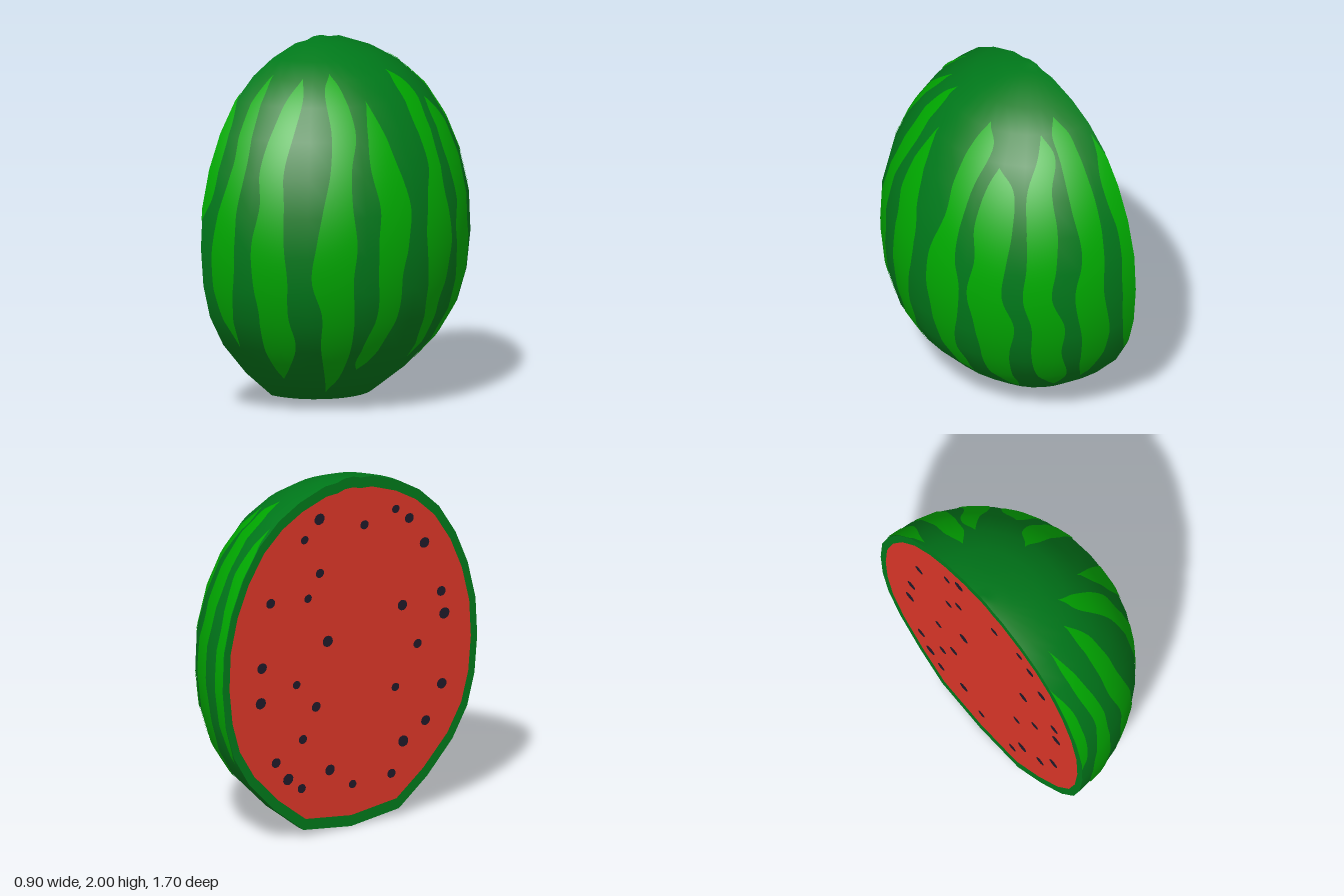
import * as THREE from 'three';

const SEG = 16, STEP = Math.PI / SEG, TURN = 0.082;

// Rind profile: radius, height
const PROFILE = [
  [0, 0], [0.32, 0.04], [0.51, 0.19], [0.68, 0.37], [0.78, 0.54], [0.83, 0.72], [0.85, 0.93], [0.84, 1.15],
  [0.79, 1.36], [0.71, 1.55], [0.6, 1.72], [0.47, 1.84], [0.33, 1.92], [0.16, 1.98], [0.08, 1.985], [0.03, 2], [0, 2],
];

// Seeds on the cut: z, y
const SEEDS = [
  [0.31, 1.76], [0.4, 1.69], [-0.2, 1.8], [0.1, 1.71], [0.5, 1.53], [-0.3, 1.7], [0.61, 1.23], [0.63, 1.1],
  [-0.2, 1.49], [0.35, 1.2], [-0.28, 1.36], [-0.53, 1.38], [-0.15, 1.09], [0.45, 0.96], [0.61, 0.7],
  [0.3, 0.74], [0.5, 0.51], [0.35, 0.42], [0.27, 0.25], [-0.59, 1.02], [-0.36, 0.88], [-0.23, 0.73],
  [-0.6, 0.82], [-0.32, 0.56], [-0.14, 0.35], [0.01, 0.24], [-0.5, 0.46], [-0.42, 0.35], [-0.33, 0.28],
];

function radiusAt(y) {
  for (let i = 1; i < PROFILE.length; i++) {
    const [r0, y0] = PROFILE[i - 1], [r1, y1] = PROFILE[i];
    if (y <= y1) return r0 + (r1 - r0) * (y - y0) / (y1 - y0 || 1);
  }
  return 0;
}

// Thin wavy band lying just above the faceted rind, through points [height, angle, half width]
function stripeGeometry(points) {
  const rows = 56, cols = 6, pos = [], nor = [], idx = [];
  const curve = new THREE.CatmullRomCurve3(points.map(([y, a, w]) => new THREE.Vector3(a - TURN, y, w)));
  for (let j = 0; j <= rows; j++) {
    const { x: centre, y, z: half } = curve.getPoint(j / rows);
    for (let i = 0; i <= cols; i++) {
      const phi = THREE.MathUtils.clamp(centre + Math.max(0, half) * (2 * i / cols - 1), 0, Math.PI);
      const k = Math.min(SEG - 1, Math.floor(phi / STEP));
      const r = radiusAt(y) * Math.cos(STEP / 2) / Math.cos(phi - (k + 0.5) * STEP);
      const p = new THREE.Vector3(r * Math.sin(phi), y, r * Math.cos(phi));
      const n = new THREE.Vector3(p.x / 0.72, y - 0.98, p.z / 0.72).normalize();
      p.addScaledVector(n, 0.004);
      pos.push(p.x, p.y, p.z);
      nor.push(n.x, n.y, n.z);
      if (i < cols && j < rows) {
        const a = j * (cols + 1) + i, b = a + cols + 1;
        idx.push(a, a + 1, b, a + 1, b + 1, b);
      }
    }
  }
  const g = new THREE.BufferGeometry();
  g.setAttribute('position', new THREE.Float32BufferAttribute(pos, 3));
  g.setAttribute('normal', new THREE.Float32BufferAttribute(nor, 3));
  g.setIndex(idx);
  return g;
}

// Closed outline of the cut, scaled about its middle
function outline(sz, sy) {
  const at = (side) => ([r, y]) => new THREE.Vector2(side * r * sz, 1.01 + (y - 1.01) * sy);
  return [...PROFILE.slice(0, -1).map(at(1)), ...PROFILE.slice(1).reverse().map(at(-1))];
}

export function createModel() {
  const mat = (name, color) => new THREE.MeshStandardMaterial({ name, color });
  const darkGreen = mat('dark green rind', 0x00781a);
  const lightGreen = mat('light green stripe', 0x00a900);
  const red = mat('red flesh', 0xdc3628);
  const black = mat('seed black', 0x1f1a2a);

  const model = new THREE.Group();
  model.name = 'halfMelon';
  const half = new THREE.Group();
  half.name = 'half';
  model.add(half);
  const add = (name, geometry, material) => {
    const mesh = new THREE.Mesh(geometry, material);
    mesh.name = name;
    half.add(mesh);
    return mesh;
  };
  const stripe = (name, ...points) => add(name, stripeGeometry(points), lightGreen);

  // Rind dome
  add('rind', new THREE.LatheGeometry(PROFILE.map(([r, y]) => new THREE.Vector2(r, y)), SEG, 0, Math.PI), darkGreen);

  // Stripes from the front edge round to the back edge
  stripe('frontEdgeStripe', [1.08, 0.08, 0], [1.2, 0.08, 0.07], [1.4, 0.08, 0.09], [1.6, 0.08, 0.08], [1.76, 0.08, 0]);
  stripe('stripe1', [0.38, 0.28, 0], [0.6, 0.255, 0.06], [0.8, 0.262, 0.09], [1, 0.277, 0.086], [1.2, 0.306, 0.066],
    [1.4, 0.344, 0.055], [1.6, 0.33, 0.058], [1.76, 0.33, 0.045], [1.86, 0.35, 0]);
  stripe('stripe2', [0.19, 0.58, 0], [0.26, 0.6, 0.07], [0.4, 0.637, 0.13], [0.6, 0.625, 0.105], [0.8, 0.613, 0.12],
    [1, 0.6, 0.11], [1.2, 0.62, 0.085], [1.4, 0.6, 0.09], [1.6, 0.65, 0.092], [1.76, 0.71, 0.075], [1.85, 0.75, 0]);
  stripe('stripe3', [0.1, 1.07, 0], [0.2, 1.1, 0.075], [0.4, 1.087, 0.12], [0.6, 1.08, 0.113], [0.8, 1.035, 0.14],
    [1, 1.06, 0.135], [1.2, 1.07, 0.1], [1.4, 1.1, 0.077], [1.6, 1.14, 0.1], [1.8, 1.09, 0.085], [1.87, 1.08, 0]);
  stripe('stripe4', [0.25, 1.33, 0], [0.3, 1.35, 0.06], [0.4, 1.385, 0.078], [0.6, 1.45, 0.084], [0.8, 1.44, 0.09],
    [1, 1.46, 0.114], [1.2, 1.48, 0.117], [1.4, 1.43, 0.11], [1.6, 1.41, 0.065], [1.74, 1.4, 0]);
  stripe('stripe5', [0.28, 1.92, 0], [0.4, 1.9, 0.058], [0.6, 1.854, 0.072], [0.8, 1.864, 0.109], [1, 1.862, 0.134],
    [1.2, 1.855, 0.1], [1.4, 1.9, 0.07], [1.6, 1.92, 0.093], [1.78, 1.98, 0.11], [1.86, 1.95, 0]);
  stripe('stripe6', [0.17, 2.33, 0], [0.25, 2.28, 0.06], [0.4, 2.227, 0.097], [0.6, 2.227, 0.105], [0.8, 2.234, 0.14],
    [1, 2.175, 0.12], [1.2, 2.21, 0.11], [1.4, 2.216, 0.14], [1.6, 2.236, 0.11], [1.7, 2.2, 0]);
  stripe('stripe7', [0.22, 2.7, 0], [0.29, 2.68, 0.07], [0.4, 2.64, 0.12], [0.6, 2.59, 0.105], [0.8, 2.6, 0.11],
    [1, 2.53, 0.095], [1.2, 2.56, 0.1], [1.4, 2.57, 0.11], [1.6, 2.56, 0.1], [1.76, 2.64, 0.08], [1.84, 2.6, 0]);
  stripe('stripe8', [0.3, 2.92, 0], [0.45, 2.92, 0.07], [0.7, 2.93, 0.1], [1, 2.88, 0.1], [1.25, 2.92, 0.08],
    [1.5, 2.9, 0.1], [1.75, 2.86, 0.1], [1.83, 2.83, 0.1], [1.89, 2.8, 0]);
  stripe('backEdgeStripe', [0.5, 3.2, 0], [0.7, 3.2, 0.06], [1, 3.2, 0.08], [1.3, 3.19, 0.06], [1.6, 3.17, 0.08], [1.8, 3.18, 0]);

  // Flat cut: rind edge around the flesh
  const rim = new THREE.Shape(outline(1, 1));
  rim.holes.push(new THREE.Path(outline(0.95, 0.938)));
  add('rindEdge', new THREE.ShapeGeometry(rim).rotateY(-Math.PI / 2), darkGreen);
  add('flesh', new THREE.ShapeGeometry(new THREE.Shape(outline(0.95, 0.938))).rotateY(-Math.PI / 2), red);

  // Seeds: flat ovals on the flesh
  SEEDS.forEach(([z, y], i) => {
    const size = 0.85 + 0.3 * ((i * 7) % 5) / 4;
    const seed = add('seed' + (i + 1), new THREE.CircleGeometry(1, 12).rotateY(-Math.PI / 2), black);
    seed.scale.set(1, 0.028 * size, 0.03 * size);
    seed.position.set(-0.002, y, z);
    seed.rotation.x = 0.3 * Math.sin(i * 2.3);
  });

  // The cut is turned and leaned slightly
  half.scale.x = 0.98;
  half.rotation.set(0, TURN, -0.01);
  half.position.set(-0.39, 0, 0);
  return model;
}
